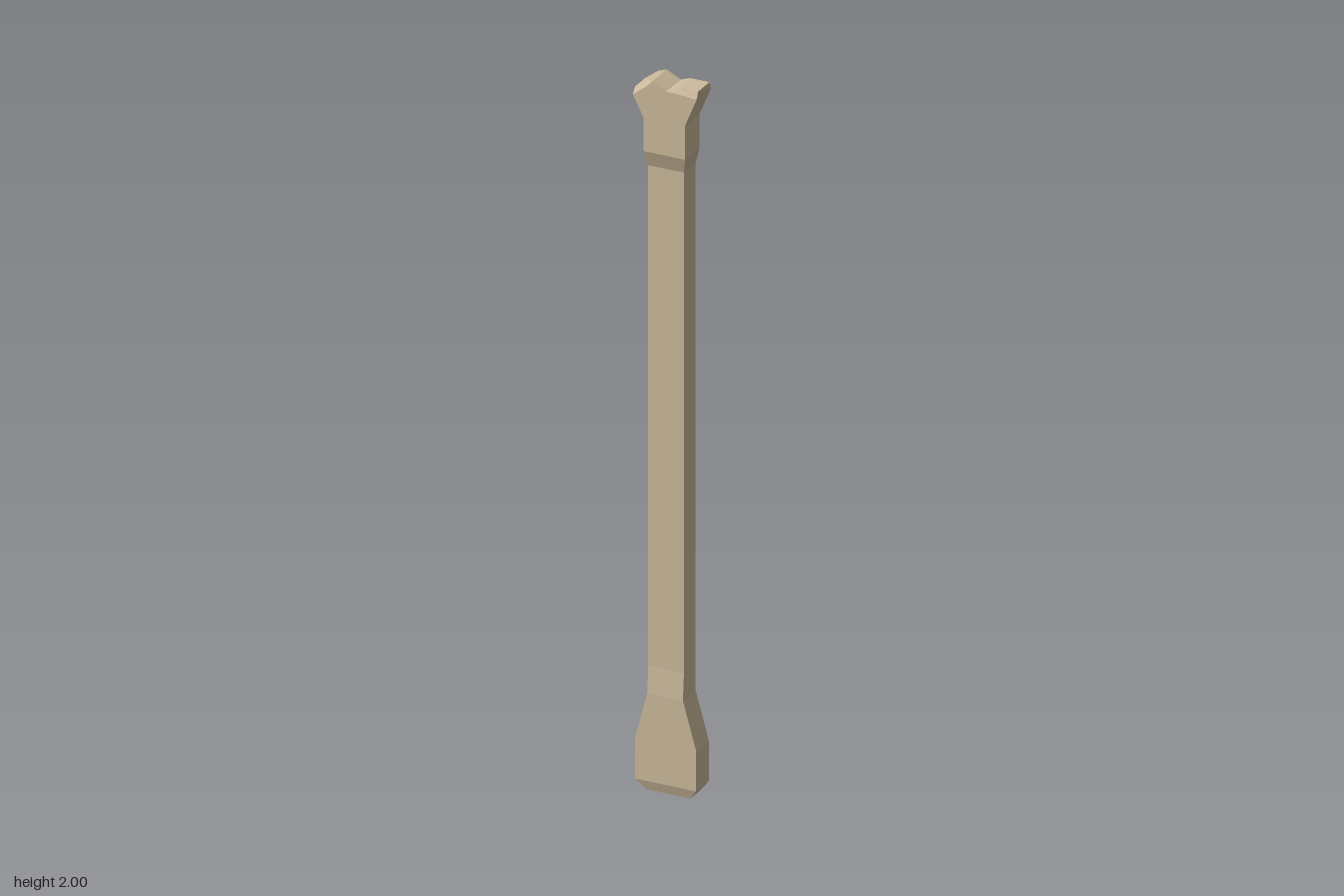
import * as THREE from 'three';

const bone = new THREE.MeshStandardMaterial({ color: 0xcdbb9d });
bone.name = 'bone';

// Faceted skin through equal-length rings of points, closed by convex caps
function loft(name, rings) {
  const pos = [];
  const tri = (a, b, c) => pos.push(...a, ...b, ...c);
  const n = rings[0].length;
  for (let i = 0; i < rings.length - 1; i++) {
    for (let j = 0; j < n; j++) {
      const k = (j + 1) % n;
      const [a, b, c, d] = [rings[i][j], rings[i][k], rings[i + 1][k], rings[i + 1][j]];
      tri(a, b, c);
      tri(a, c, d);
    }
  }
  const first = rings[0], last = rings[rings.length - 1];
  for (let j = 1; j < n - 1; j++) {
    tri(first[0], first[j + 1], first[j]);
    tri(last[0], last[j], last[j + 1]);
  }
  const geo = new THREE.BufferGeometry();
  geo.setAttribute('position', new THREE.Float32BufferAttribute(pos, 3));
  geo.computeVertexNormals();
  const mesh = new THREE.Mesh(geo, bone);
  mesh.name = name;
  return mesh;
}

// Rectangular ring at height y: left x, right x, front z, back z
const ring = ([y, x0, x1, zf, zb]) => [[x0, y, zf], [x1, y, zf], [x1, y, zb], [x0, y, zb]];

export function createModel() {
  const group = new THREE.Group();
  group.name = 'bone';

  // Flared foot with a bevelled end
  group.add(loft('lowerEnd', [
    [0, -0.064, 0.063, 0.022, -0.03],
    [0.028, -0.091, 0.084, 0.031, -0.041],
    [0.14, -0.091, 0.084, 0.031, -0.041],
    [0.275, -0.056, 0.046, 0.031, -0.041],
  ].map(ring)));

  // Long straight shaft
  group.add(loft('shaft', [
    [0.275, -0.056, 0.046, 0.031, -0.041],
    [0.35, -0.056, 0.046, 0.025, -0.041],
    [1.755, -0.056, 0.046, 0.025, -0.041],
  ].map(ring)));

  // Thicker neck stepping out to the front
  group.add(loft('neck', [
    [1.755, -0.056, 0.046, 0.025, -0.041],
    [1.8, -0.062, 0.057, 0.041, -0.042],
    [1.895, -0.062, 0.057, 0.041, -0.042],
  ].map(ring)));

  // Two-lobed head, lofted sideways: x, top y, top half depth, shoulder y
  const columns = [
    [-0.092, 1.97, 0.028, 1.953],
    [-0.055, 1.998, 0.028, 1.982],
    [-0.037, 2.0, 0.0415, 2.0],
    [0.003, 1.98, 0.0415, 1.98],
    [0.035, 1.995, 0.032, 1.98],
    [0.09, 1.995, 0.032, 1.975],
  ];
  group.add(loft('upperEnd', columns.map(([x, top, half, shoulder]) => {
    const t = (x + 0.092) / 0.182;
    const xb = THREE.MathUtils.lerp(-0.062, 0.057, t);
    return [
      [x, top, half], [x, shoulder, 0.041], [xb, 1.895, 0.041],
      [xb, 1.895, -0.042], [x, shoulder, -0.042], [x, top, -half],
    ];
  })));

  return group;
}
